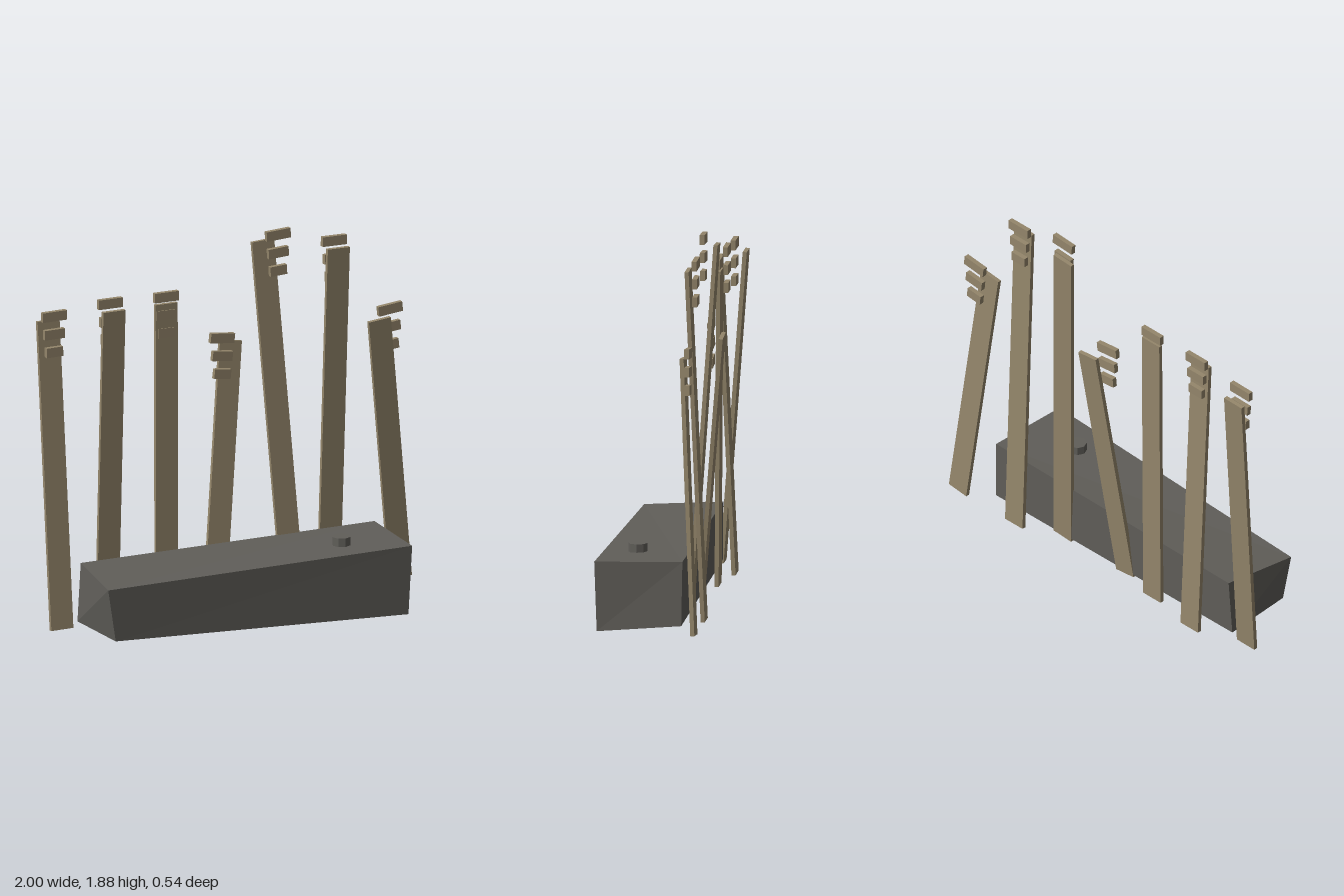
import * as THREE from 'three';

export function createModel() {
  const group = new THREE.Group();
  const wood = new THREE.MeshStandardMaterial({ color: 0x94866b });
  wood.name = 'weathered wood';
  const stone = new THREE.MeshStandardMaterial({ color: 0x605e59 });
  stone.name = 'dark stone';

  const add = (name, geometry, material) => {
    const mesh = new THREE.Mesh(geometry, material);
    mesh.name = name;
    group.add(mesh);
    return mesh;
  };

  // Skewed block: a box whose eight corners are pulled out of square
  const corners = {
    '-++': [-0.85, 0.315, 0.23], '+++': [0.76, 0.345, 0.27],
    '-+-': [-0.81, 0.345, -0.16], '++-': [0.765, 0.355, -0.16],
    '--+': [-0.805, 0.05, 0.22], '+-+': [0.745, 0.0, 0.26],
    '---': [-0.83, 0.055, -0.155], '+--': [0.772, 0.04, -0.155],
  };
  const blockGeometry = new THREE.BoxGeometry(1, 1, 1).toNonIndexed();
  const p = blockGeometry.attributes.position;
  const sign = (v) => (v > 0 ? '+' : '-');
  for (let i = 0; i < p.count; i++) {
    p.setXYZ(i, ...corners[sign(p.getX(i)) + sign(p.getY(i)) + sign(p.getZ(i))]);
  }
  blockGeometry.computeVertexNormals();
  add('block', blockGeometry, stone);

  // Eight-sided knob on top of the block
  const knobGeometry = new THREE.CylinderGeometry(0.046, 0.046, 0.06, 8).toNonIndexed();
  knobGeometry.computeVertexNormals();
  add('knob', knobGeometry, stone).position.set(0.465, 0.355, 0.095);

  // Leaning slats: bottom x and z, top x, y and z, height of the top cap
  const slats = [
    { bottom: [-0.92, -0.145], top: [-0.941, 1.56, -0.255], cap: 1.594 },
    { bottom: [-0.631, -0.24], top: [-0.631, 1.59, -0.165], cap: 1.62 },
    { bottom: [-0.334, -0.195], top: [-0.333, 1.58, -0.203], cap: 1.615 },
    { bottom: [-0.102, -0.145], top: [0.04, 1.33, -0.262], cap: 1.369 },
    { bottom: [0.321, -0.145], top: [0.211, 1.815, -0.258], cap: 1.852 },
    { bottom: [0.557, -0.24], top: [0.571, 1.755, -0.163], cap: 1.784 },
    { bottom: [0.94, -0.238], top: [0.793, 1.365, -0.167], cap: 1.402 },
  ];
  const up = new THREE.Vector3(0, 1, 0);
  slats.forEach(({ bottom, top, cap }, i) => {
    const a = new THREE.Vector3(bottom[0], 0.03, bottom[1]);
    const b = new THREE.Vector3(...top);
    const direction = b.clone().sub(a);
    const slat = add('slat', new THREE.BoxGeometry(0.118, direction.length(), 0.02), wood);
    slat.position.copy(a).add(b).multiplyScalar(0.5);
    slat.quaternion.setFromUnitVectors(up, direction.clone().normalize());

    // Three short tips, narrowing downward, tilted sideways with the slat
    [0.128, 0.107, 0.088].forEach((width, k) => {
      const tip = add('tip', new THREE.BoxGeometry(width, 0.048, 0.024), wood);
      tip.position.set(-0.934 + 0.3 * i, cap - 0.09 * k, -0.2);
      tip.rotation.z = -Math.atan2(direction.x, direction.y);
    });
  });

  return group;
}
